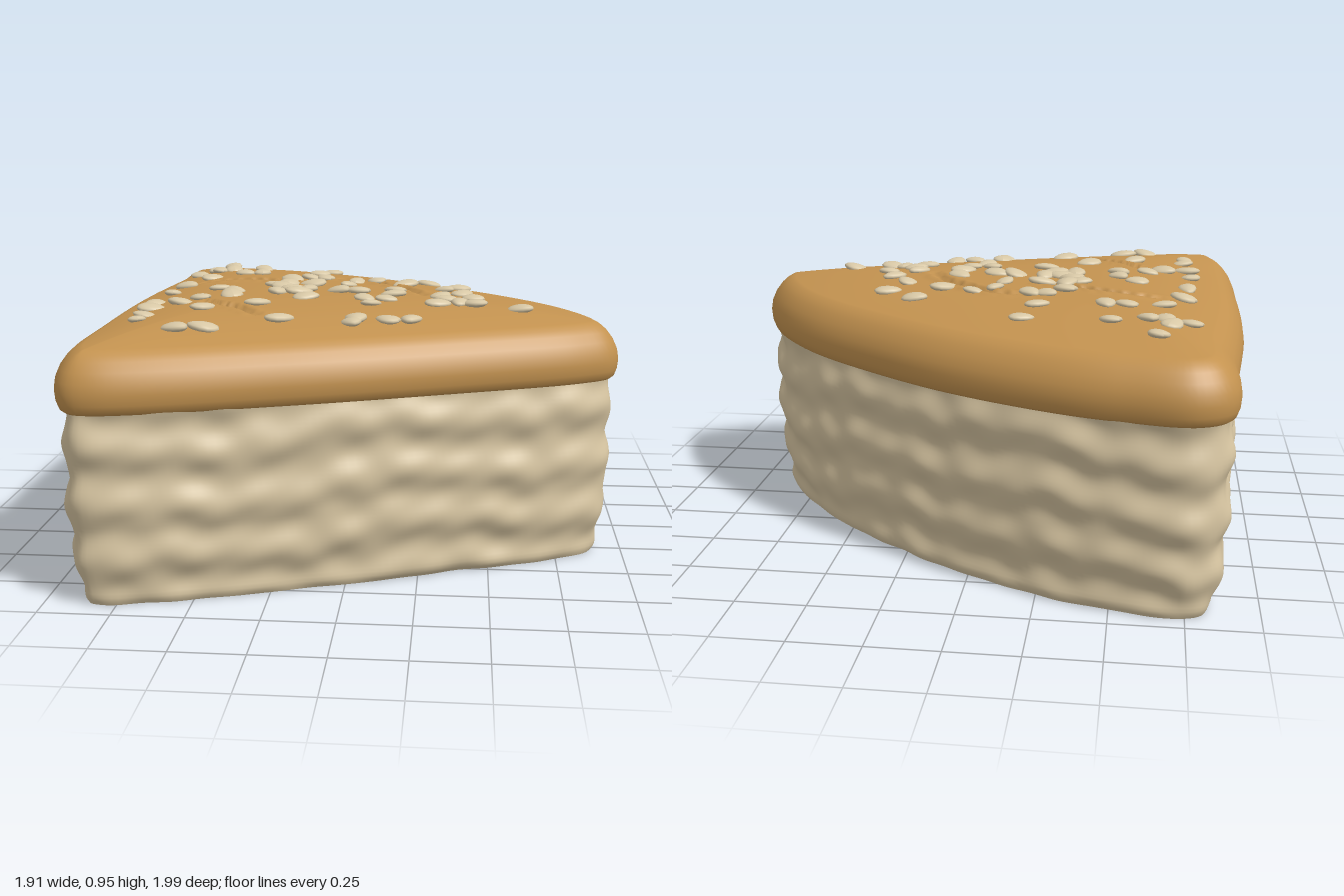
import * as THREE from 'three';

const V2 = (x, z) => new THREE.Vector2(x, z);
const smooth = (pts, closed) => new THREE.CatmullRomCurve3(
  pts.map(([x, z]) => new THREE.Vector3(x, 0, z)), closed, 'centripetal');

// wedge footprint (x, z), anticlockwise from above
const OUTLINE = smooth([
  [-0.76, -1], [-0.88, -0.92], [-0.905, -0.61], [-0.95, -0.13], [-0.957, 0.4], [-0.94, 0.85],
  [-0.88, 0.97], [-0.78, 0.99], [-0.18, 0.81], [0.35, 0.61], [0.825, 0.41], [0.94, 0.32],
  [0.95, 0.21], [0.85, -0.03], [0.67, -0.265], [0.4, -0.5], [0.085, -0.72], [-0.286, -0.9], [-0.52, -0.97],
], true);
const N = 240, CX = -0.25, CZ = 0;

const BASE = [];
for (let i = 0; i < N; i++) {
  const p = OUTLINE.getPointAt(i / N), t = OUTLINE.getTangentAt(i / N);
  BASE.push({ p: V2(p.x, p.z), n: V2(-t.z, t.x) });
}
const insetPoint = (j, d) => BASE[j].p.clone().addScaledVector(BASE[j].n, -d);

// skin a stack of closed rings; point(i, j) gives [x, y, z]
function loft(rings, point) {
  const pos = [], index = [];
  for (let i = 0; i < rings; i++) {
    for (let j = 0; j < N; j++) {
      pos.push(...point(i, j));
      if (i === rings - 1) continue;
      const a = i * N + j, b = i * N + (j + 1) % N;
      index.push(a, b, a + N, b, b + N, a + N);
    }
  }
  const g = new THREE.BufferGeometry();
  g.setAttribute('position', new THREE.Float32BufferAttribute(pos, 3));
  g.setIndex(index);
  g.computeVertexNormals();
  return g;
}

// crust edge profile: [height, inset]
const EDGE = [[0.685, 0.045], [0.68, 0.025], [0.69, 0.012], [0.715, 0.003], [0.75, 0], [0.785, 0.006],
  [0.82, 0.022], [0.85, 0.045], [0.868, 0.066], [0.88, 0.088]];
const RIM = BASE.map((_, j) => insetPoint(j, 0.088));
const domeHeight = (s) => 0.88 + 0.062 * (1 - s ** 3);

// splits in the crust, sampled as points
const CRACKS = [
  [[-0.69, -0.24], [-0.5, -0.23], [-0.34, -0.175], [-0.17, -0.09]],
  [[-0.19, -0.3], [-0.02, -0.25], [0.11, -0.14], [0.19, -0.04], [0.25, 0.09]],
  [[-0.58, 0.24], [-0.5, 0.33], [-0.4, 0.4], [-0.32, 0.48]],
].flatMap((pts) => smooth(pts, false).getSpacedPoints(70).map((p, k) => ({
  x: p.x + 0.005 * Math.sin(k * 0.7), z: p.z + 0.005 * Math.cos(k * 0.9),
  w: Math.sin(Math.PI * k / 70) ** 0.5,
})));

function crackOffset(x, z) {
  let best = 1, w = 0;
  for (const c of CRACKS) {
    const d = Math.hypot(x - c.x, z - c.z);
    if (d < best) { best = d; w = c.w; }
  }
  return w * (0.008 * Math.exp(-((best - 0.03) ** 2) / 0.0003) - 0.022 * Math.exp(-(best ** 2) / 0.0002));
}

// height of the crust top above any x, z
function topHeight(x, z) {
  const ang = Math.atan2(z - CZ, x - CX);
  let rim = 1, best = 9;
  for (const p of RIM) {
    const d = Math.abs(Math.sin((Math.atan2(p.y - CZ, p.x - CX) - ang) / 2));
    if (d < best) { best = d; rim = Math.hypot(p.x - CX, p.y - CZ); }
  }
  return domeHeight(Math.min(1, Math.hypot(x - CX, z - CZ) / rim));
}

function crustGeometry() {
  const TOP = 64;
  return loft(EDGE.length + TOP, (i, j) => {
    if (i < EDGE.length) {
      const [y, d] = EDGE[i], p = insetPoint(j, d);
      return [p.x, y, p.y];
    }
    const s = 1 - (i - EDGE.length + 1) / TOP;
    const x = CX + (RIM[j].x - CX) * s, z = CZ + (RIM[j].y - CZ) * s;
    return [x, domeHeight(s) + crackOffset(x, z), z];
  });
}

// layered crumb wall, open underneath
function crumbGeometry() {
  const ROWS = 48;
  return loft(ROWS + 1, (i, j) => {
    const y = 0.01 + 0.685 * i / ROWS, u = j / N * Math.PI * 2;
    const wander = 0.9 * Math.sin(3 * u + 1) + 0.6 * Math.sin(7 * u + y * 4);
    const layers = 0.010 * Math.sin(y * Math.PI * 2 / 0.19 + 1.5 + wander);
    const lumps = 0.004 * Math.sin(17 * u + 9 * y) * Math.sin(23 * y + 5 * u)
      + 0.003 * Math.sin(31 * u - 14 * y) * Math.sin(41 * y + 2 * u);
    const taper = 0.03 * Math.max(0, 1 - y / 0.3) + 0.03 * Math.max(0, 1 - y / 0.05) ** 2;
    const p = insetPoint(j, 0.024 + taper - layers - lumps);
    return [p.x, y, p.y];
  });
}

// seed positions on the crust, in hundredths: x, z
const SEEDS = [
  -63, -73, -68, -60, -74, -54, -66, -56, -60, -57, -47, -60, -17, -57, -65, -35, -52, -41, -45, -41,
  -21, -43, 25, -30, 37, -20, -23, -28, -17, -27, -29, -21, 4, -25, -3, -20, 16, -19, -72, -19,
  -74, -2, -55, -1, -34, -7, -29, -11, -20, -10, -30, -2, -26, 2, -20, 2, -31, 9, -23, 8,
  -6, -10, -8, 4, -1, 5, 13, 1, 13, 10, -48, 6, -48, 14, 32, -9, 39, 1, 43, 10,
  31, 10, 33, 16, 30, 23, 38, 20, 43, 21, 60, 23, -19, 19, 3, 19, 6, 27, 11, 19,
  -76, 21, -65, 26, -59, 19, -74, 32, -53, 41, -35, 32, -73, 47, -74, 54, -24, 52, 2, 47,
  1, 51, 13, 46, 21, 44, -57, 68, -48, 66,
];

// flattened teardrop, pointed towards +x
function seedGeometry() {
  const g = new THREE.SphereGeometry(1, 12, 8);
  const p = g.attributes.position;
  for (let i = 0; i < p.count; i++) {
    const x = p.getX(i), narrow = 1 - 0.3 * x;
    p.setXYZ(i, x * 0.05, p.getY(i) * 0.015, p.getZ(i) * 0.036 * narrow);
  }
  g.computeVertexNormals();
  return g;
}

export function createModel() {
  const mat = (name, color, side = THREE.FrontSide) => {
    const m = new THREE.MeshStandardMaterial({ color, side });
    m.name = name;
    return m;
  };
  const crustMat = mat('golden crust', 0xc49350, THREE.DoubleSide);
  const crumbMat = mat('pale crumb', 0xd8c6a2, THREE.DoubleSide);
  const seedMat = mat('seed cream', 0xd8c8a6);

  const model = new THREE.Group();
  model.name = 'breadWedge';
  const add = (parent, name, geometry, material) => {
    const mesh = new THREE.Mesh(geometry, material);
    mesh.name = name;
    parent.add(mesh);
    return mesh;
  };
  add(model, 'crumb', crumbGeometry(), crumbMat);
  add(model, 'crust', crustGeometry(), crustMat);

  // scattered seeds, each turned and tipped a little
  let state = 7;
  const rand = () => (state = (state * 16807) % 2147483647) / 2147483647;
  for (let k = 0; k < 20; k++) rand();
  const seeds = new THREE.Group();
  seeds.name = 'seeds';
  model.add(seeds);
  const seedGeo = seedGeometry();
  for (let k = 0; k < SEEDS.length; k += 2) {
    const x = SEEDS[k] / 100, z = SEEDS[k + 1] / 100;
    const seed = add(seeds, 'seed', seedGeo, seedMat);
    seed.position.set(x, topHeight(x, z) + 0.004, z);
    seed.rotation.set((rand() - 0.5) * 0.3, rand() * Math.PI * 2, (rand() - 0.5) * 0.3, 'YXZ');
    seed.scale.setScalar(0.85 + 0.3 * rand());
  }
  return model;
}
